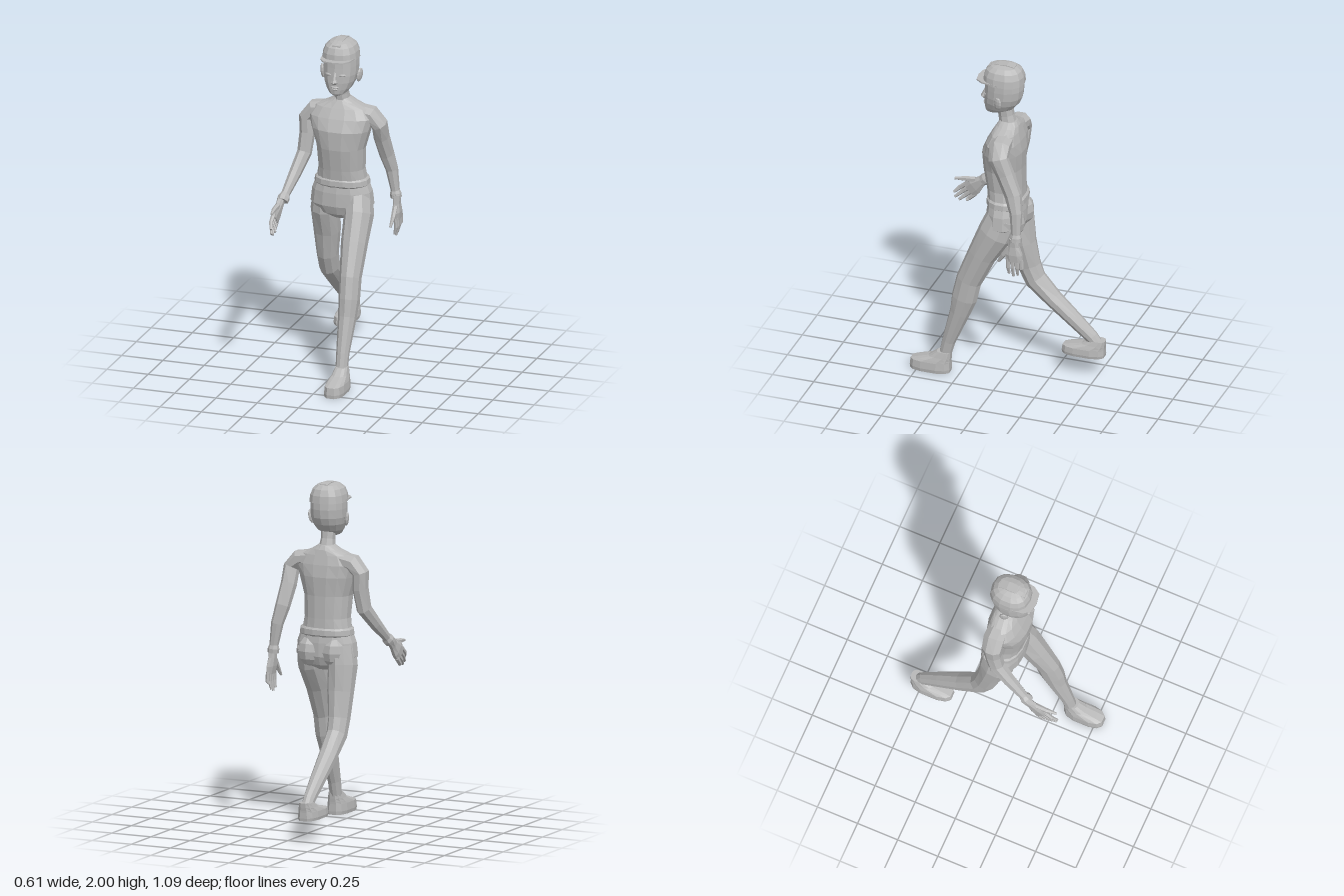
import * as THREE from 'three';

const grey = new THREE.MeshStandardMaterial({ color: 0xb8b8b8, flatShading: true });
grey.name = 'plain grey';

function add(parent, name, geometry) {
  const mesh = new THREE.Mesh(geometry, grey);
  mesh.name = name;
  parent.add(mesh);
  return mesh;
}

// Skin over rings [x, y, z, radiusX, radiusZ], listed from top to bottom.
// Rings lie level, or square to the path when follow is true.
function loft(rings, { sides = 8, power = 2, follow = false } = {}) {
  const pos = [], index = [];
  const centres = rings.map(r => new THREE.Vector3(r[0], r[1], r[2]));
  const bend = v => Math.sign(v) * Math.abs(v) ** (2 / power);
  rings.forEach((r, i) => {
    const up = new THREE.Vector3(0, 1, 0);
    if (follow) {
      up.subVectors(centres[Math.max(i - 1, 0)], centres[Math.min(i + 1, rings.length - 1)]).normalize();
    }
    const front = new THREE.Vector3(0, 0, 1).addScaledVector(up, -up.z).normalize();
    const side = new THREE.Vector3().crossVectors(up, front);
    for (let j = 0; j < sides; j++) {
      const a = (j + 0.5) / sides * Math.PI * 2;
      const p = centres[i].clone()
        .addScaledVector(side, bend(Math.cos(a)) * r[3])
        .addScaledVector(front, bend(Math.sin(a)) * r[4]);
      pos.push(p.x, p.y, p.z);
    }
  });
  const last = rings.length - 1, top = rings.length * sides;
  for (const c of [centres[0], centres[last]]) pos.push(c.x, c.y, c.z);
  for (let j = 0; j < sides; j++) {
    const k = (j + 1) % sides;
    for (let i = 0; i < last; i++) {
      const a = i * sides + j, b = i * sides + k;
      index.push(a, b, a + sides, b, b + sides, a + sides);
    }
    index.push(top, k, j, top + 1, last * sides + j, last * sides + k);
  }
  const g = new THREE.BufferGeometry();
  g.setAttribute('position', new THREE.Float32BufferAttribute(pos, 3));
  g.setIndex(index);
  g.computeVertexNormals();
  return g;
}

const outline = points => new THREE.Shape(points.map(p => new THREE.Vector2(...p)));

function buildHead(parent) {
  const head = new THREE.Group();
  head.name = 'head';
  parent.add(head);
  add(head, 'neck', loft([
    [0, 1.74, 0.02, 0.042, 0.05], [0, 1.67, 0.01, 0.04, 0.047], [0, 1.6, -0.005, 0.05, 0.055]], { follow: true }));
  add(head, 'skull', loft([
    [0, 1.91, 0.02, 0.1, 0.11], [0, 1.85, 0.02, 0.102, 0.113], [0, 1.8, 0.025, 0.1, 0.112],
    [0, 1.76, 0.034, 0.091, 0.104], [0, 1.72, 0.05, 0.072, 0.086],
    [0, 1.692, 0.078, 0.047, 0.054], [0, 1.682, 0.088, 0.028, 0.036]], { sides: 14, power: 2.2 }));

  // Face
  add(head, 'nose', loft([
    [0, 1.825, 0.13, 0.008, 0.008], [0, 1.785, 0.14, 0.013, 0.018],
    [0, 1.768, 0.142, 0.021, 0.024], [0, 1.756, 0.136, 0.014, 0.012]], { sides: 6 }));
  for (const [name, y, w] of [['upperLip', 1.737, 0.024], ['lowerLip', 1.725, 0.019]]) {
    add(head, name, new THREE.IcosahedronGeometry(1, 1)).scale.set(w, 0.006, 0.012);
    head.children.at(-1).position.set(0, y, 0.135);
  }
  for (const s of [-1, 1]) {
    const eye = add(head, 'eye', new THREE.IcosahedronGeometry(1, 1));
    eye.scale.set(0.021, 0.009, 0.009);
    eye.position.set(s * 0.043, 1.808, 0.123);
    eye.rotation.y = s * 0.35;
    const ear = add(head, 'ear', new THREE.SphereGeometry(1, 8, 6));
    ear.scale.set(0.013, 0.042, 0.026);
    ear.position.set(s * 0.112, 1.79, 0.024);
    ear.rotation.set(-0.15, s * -0.3, s * -0.15);
  }

  // Cap with peak and raised band
  add(head, 'capDome', loft([
    [0, 1.995, 0.025, 0.03, 0.045], [0, 1.986, 0.022, 0.06, 0.078], [0, 1.965, 0.022, 0.085, 0.103],
    [0, 1.93, 0.022, 0.099, 0.117], [0, 1.888, 0.022, 0.105, 0.121]], { sides: 14, power: 2.4 }));
  const peak = add(head, 'capPeak', new THREE.ExtrudeGeometry(outline([
    [-0.104, 0.03], [0.104, 0.03], [0.088, 0.13], [0.06, 0.17], [0, 0.18], [-0.06, 0.17], [-0.088, 0.13]]),
  { depth: 0.008, bevelEnabled: false }));
  peak.rotation.x = Math.PI / 2;
  peak.position.y = 1.9;
  const band = add(head, 'capBand', new THREE.ExtrudeGeometry(outline([
    [0.115, 1.96], [0.113, 1.98], [0.06, 1.996], [0, 2], [-0.045, 1.992], [-0.045, 1.97], [0.05, 1.975]]),
  { depth: 0.05, bevelEnabled: false }));
  band.rotation.y = -Math.PI / 2;
  band.position.x = 0.025;
}

function buildBody(parent) {
  add(parent, 'torso', loft([
    [0, 1.64, -0.005, 0.045, 0.05], [0, 1.615, -0.005, 0.085, 0.065], [0, 1.585, 0, 0.16, 0.078],
    [0, 1.53, 0.008, 0.195, 0.1], [0, 1.46, 0.018, 0.175, 0.12], [0, 1.35, 0.02, 0.143, 0.116],
    [0, 1.22, 0.008, 0.136, 0.106], [0, 1.13, 0, 0.152, 0.102]], { sides: 16, power: 2.3 }));
  add(parent, 'shirtHem', loft([
    [0, 1.165, 0, 0.15, 0.104], [0, 1.155, 0, 0.16, 0.112], [0, 1.125, 0, 0.163, 0.113],
    [0, 1.115, 0, 0.152, 0.104]], { sides: 16, power: 2.3 }));
  add(parent, 'hips', loft([
    [0, 1.15, 0, 0.152, 0.1], [0, 1.08, 0, 0.178, 0.11], [0, 1, 0, 0.188, 0.112],
    [0, 0.95, 0, 0.14, 0.095], [0, 0.92, 0, 0.05, 0.06]], { sides: 14, power: 2.2 }));
  for (const s of [-1, 1]) {
    const seat = add(parent, 'buttock', new THREE.SphereGeometry(1, 8, 6));
    seat.scale.set(0.075, 0.09, 0.065);
    seat.position.set(s * 0.078, 1.025, -0.064);
  }
}

// Hand hanging from the wrist, thumb forward; x points away from the body
function buildHand(parent, s, wrist, swing) {
  const hand = new THREE.Group();
  hand.name = 'hand';
  hand.position.set(...wrist);
  hand.rotation.x = swing;
  parent.add(hand);
  add(hand, 'palm', loft([
    [0, 0.03, 0, 0.022, 0.026], [0, -0.02, 0, 0.02, 0.035], [s * 0.004, -0.07, 0, 0.021, 0.054],
    [s * 0.006, -0.115, -0.004, 0.015, 0.053]], { power: 2.4 }));
  [0.17, 0.205, 0.215, 0.2].forEach((end, i) => {
    const z = -0.043 + i * 0.026;
    add(hand, 'finger', loft([
      [s * 0.006, -0.1, z, 0.013, 0.014], [s * 0.007, -0.155, z * 1.05, 0.012, 0.013],
      [s * -0.004, -end, z * 1.02, 0.007, 0.008]], { sides: 6, follow: true }));
  });
  add(hand, 'thumb', loft([
    [0, -0.035, 0.025, 0.016, 0.02], [0, -0.085, 0.065, 0.014, 0.015],
    [s * -0.006, -0.135, 0.1, 0.007, 0.008]], { sides: 6, follow: true }));
}

function buildArm(parent, s, name, lower, cuff, wrist, swing) {
  const arm = new THREE.Group();
  arm.name = name;
  parent.add(arm);
  const mirror = rings => rings.map(([x, ...rest]) => [s * x, ...rest]);
  add(arm, 'sleeve', loft(mirror([
    [0.09, 1.56, -0.01, 0.045, 0.06], [0.17, 1.545, -0.01, 0.052, 0.065], ...lower]), { follow: true }));
  add(arm, 'cuff', loft(mirror(cuff), { follow: true }));
  buildHand(arm, s, [s * wrist[0], wrist[1], wrist[2]], swing);
}

function buildLeg(parent, name, rings, footAt) {
  const leg = new THREE.Group();
  leg.name = name;
  parent.add(leg);
  add(leg, 'trouserLeg', loft(rings, { sides: 10, follow: true }));
  // Shoe, with the heel at its origin
  const shoe = add(leg, 'shoe', loft([
    [0, 0.13, 0.04, 0.036, 0.042], [0, 0.095, 0.065, 0.045, 0.066], [0, 0.075, 0.1, 0.052, 0.1],
    [0, 0.062, 0.12, 0.056, 0.12], [0, 0.02, 0.122, 0.06, 0.123], [0, 0, 0.122, 0.057, 0.121]],
  { sides: 12, power: 2.8 }));
  shoe.position.set(...footAt);
  return shoe;
}

export function createModel() {
  const model = new THREE.Group();
  model.name = 'walkingFigure';
  buildHead(model);
  buildBody(model);

  // Left arm swings back, right arm reaches forward
  buildArm(model, 1, 'leftArm', [
    [0.217, 1.49, -0.02, 0.046, 0.06], [0.215, 1.4, -0.06, 0.045, 0.055], [0.228, 1.28, -0.112, 0.042, 0.051],
    [0.25, 1.18, -0.138, 0.036, 0.038], [0.27, 1.04, -0.145, 0.025, 0.027]],
  [[0.268, 1.055, -0.145, 0.026, 0.028], [0.27, 1.035, -0.145, 0.033, 0.035], [0.273, 1.01, -0.145, 0.033, 0.034]],
  [0.281, 1, -0.135], 0.03);
  buildArm(model, -1, 'rightArm', [
    [0.217, 1.49, -0.005, 0.046, 0.06], [0.212, 1.4, 0, 0.045, 0.055], [0.222, 1.28, 0.025, 0.042, 0.053],
    [0.247, 1.18, 0.115, 0.036, 0.042], [0.272, 1.075, 0.225, 0.025, 0.027]],
  [[0.27, 1.085, 0.215, 0.026, 0.028], [0.273, 1.07, 0.23, 0.035, 0.036], [0.276, 1.053, 0.247, 0.034, 0.034]],
  [0.285, 1.045, 0.258], -0.85);

  // Left leg steps forward, right leg pushes off behind
  buildLeg(model, 'leftLeg', [
    [0.1, 1.06, -0.01, 0.075, 0.1], [0.112, 0.95, 0.035, 0.084, 0.105], [0.113, 0.8, 0.116, 0.077, 0.085],
    [0.118, 0.62, 0.195, 0.062, 0.076], [0.12, 0.5, 0.222, 0.06, 0.076], [0.118, 0.4, 0.25, 0.053, 0.06],
    [0.115, 0.2, 0.318, 0.038, 0.04], [0.115, 0.11, 0.34, 0.035, 0.036]], [0.12, 0, 0.304]);
  const rearShoe = buildLeg(model, 'rightLeg', [
    [-0.1, 1.06, -0.01, 0.075, 0.1], [-0.11, 0.95, -0.02, 0.084, 0.1], [-0.112, 0.8, -0.053, 0.078, 0.076],
    [-0.12, 0.65, -0.085, 0.063, 0.07], [-0.122, 0.56, -0.122, 0.06, 0.066], [-0.12, 0.455, -0.23, 0.056, 0.052],
    [-0.12, 0.34, -0.36, 0.046, 0.046], [-0.12, 0.245, -0.465, 0.036, 0.04],
    [-0.12, 0.2, -0.5, 0.034, 0.036]], [-0.12, 0.13, -0.546]);
  rearShoe.scale.set(1, 0.8, 1.06);
  return model;
}
